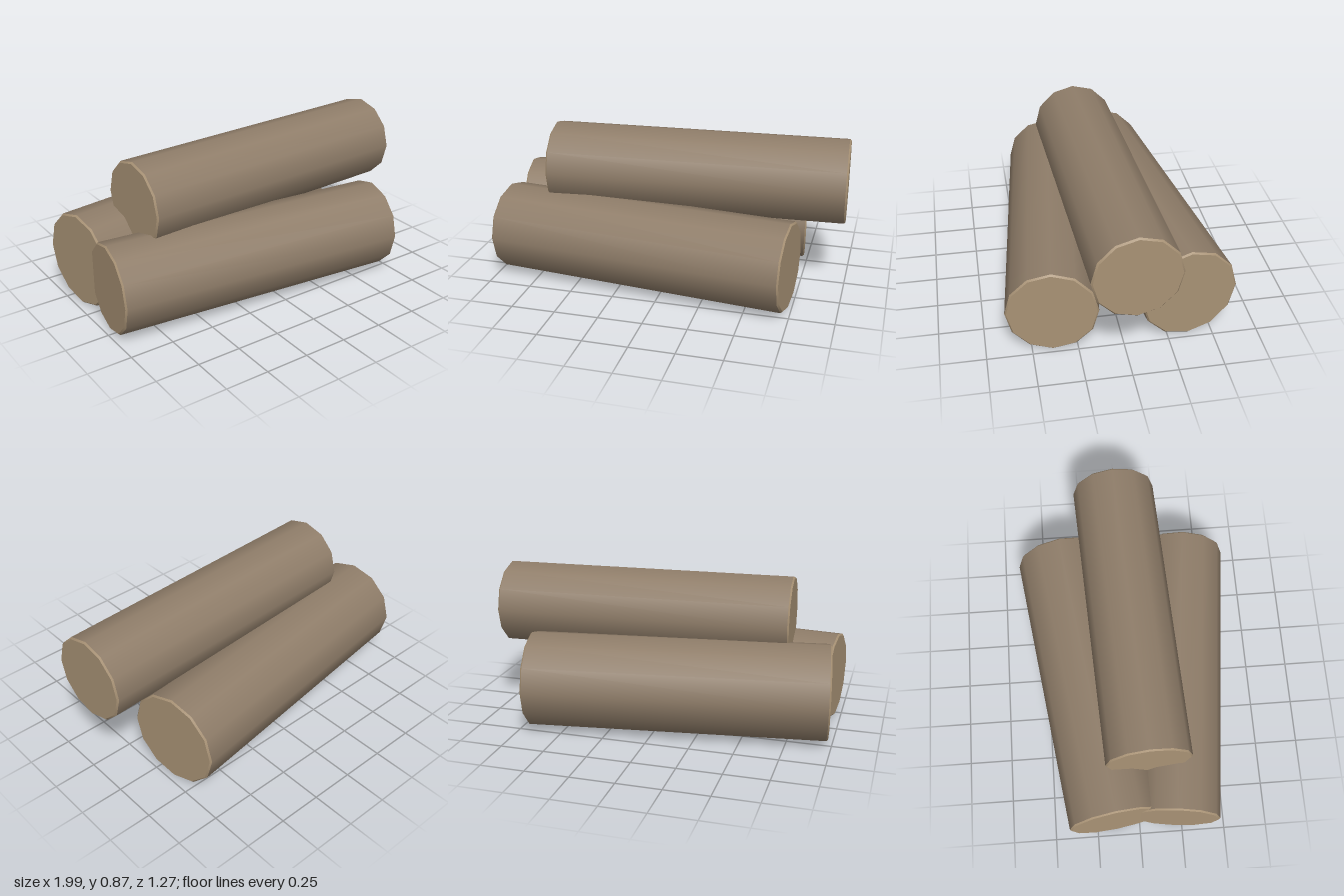
import * as THREE from 'three';

const SIDES = 12;
const BEVEL = 0.009;
const bark = new THREE.MeshStandardMaterial({ color: 0x8f7d69 });
const cutWood = new THREE.MeshStandardMaterial({ color: 0xa89275 });

// One log running from point a to point b, with narrow bevelled cut ends
function makeLog(name, a, b, radius) {
  const log = new THREE.Group();
  log.name = name;
  const axis = new THREE.Vector3().subVectors(b, a);
  const half = axis.length() / 2;

  const side = new THREE.Mesh(
    new THREE.CylinderGeometry(radius, radius, 2 * (half - BEVEL), SIDES, 1, true), bark);
  side.name = 'bark';
  log.add(side);

  for (const end of [1, -1]) {
    const cut = new THREE.Group();
    cut.name = end > 0 ? 'leftCutEnd' : 'rightCutEnd';
    const rim = new THREE.Mesh(
      new THREE.CylinderGeometry(radius - BEVEL, radius, BEVEL, SIDES, 1, true), cutWood);
    rim.name = 'rim';
    rim.position.y = half - BEVEL / 2;
    const face = new THREE.Mesh(new THREE.CircleGeometry(radius - BEVEL, SIDES), cutWood);
    face.name = 'cutFace';
    face.rotation.x = -Math.PI / 2;
    face.position.y = half;
    cut.add(rim, face);
    if (end < 0) cut.rotation.x = Math.PI;
    log.add(cut);
  }

  // Lay the log along its axis, yawed within the horizontal plane
  log.rotation.order = 'YZX';
  log.rotation.set(0, Math.atan2(-axis.z, axis.x), -Math.PI / 2);
  log.position.addVectors(a, b).multiplyScalar(0.5);
  return log;
}

export function createModel() {
  const v = (x, y, z) => new THREE.Vector3(x, y, z);
  const model = new THREE.Group();
  model.name = 'logPile';
  model.add(
    makeLog('frontLog', v(-0.966, 0.253, 0.206), v(0.73, 0.253, 0.388), 0.252),
    makeLog('backLog', v(-0.963, 0.273, -0.133), v(0.718, 0.273, -0.366), 0.273),
    makeLog('topLog', v(-0.714, 0.625, 0.064), v(0.984, 0.625, -0.021), 0.241),
  );
  return model;
}
